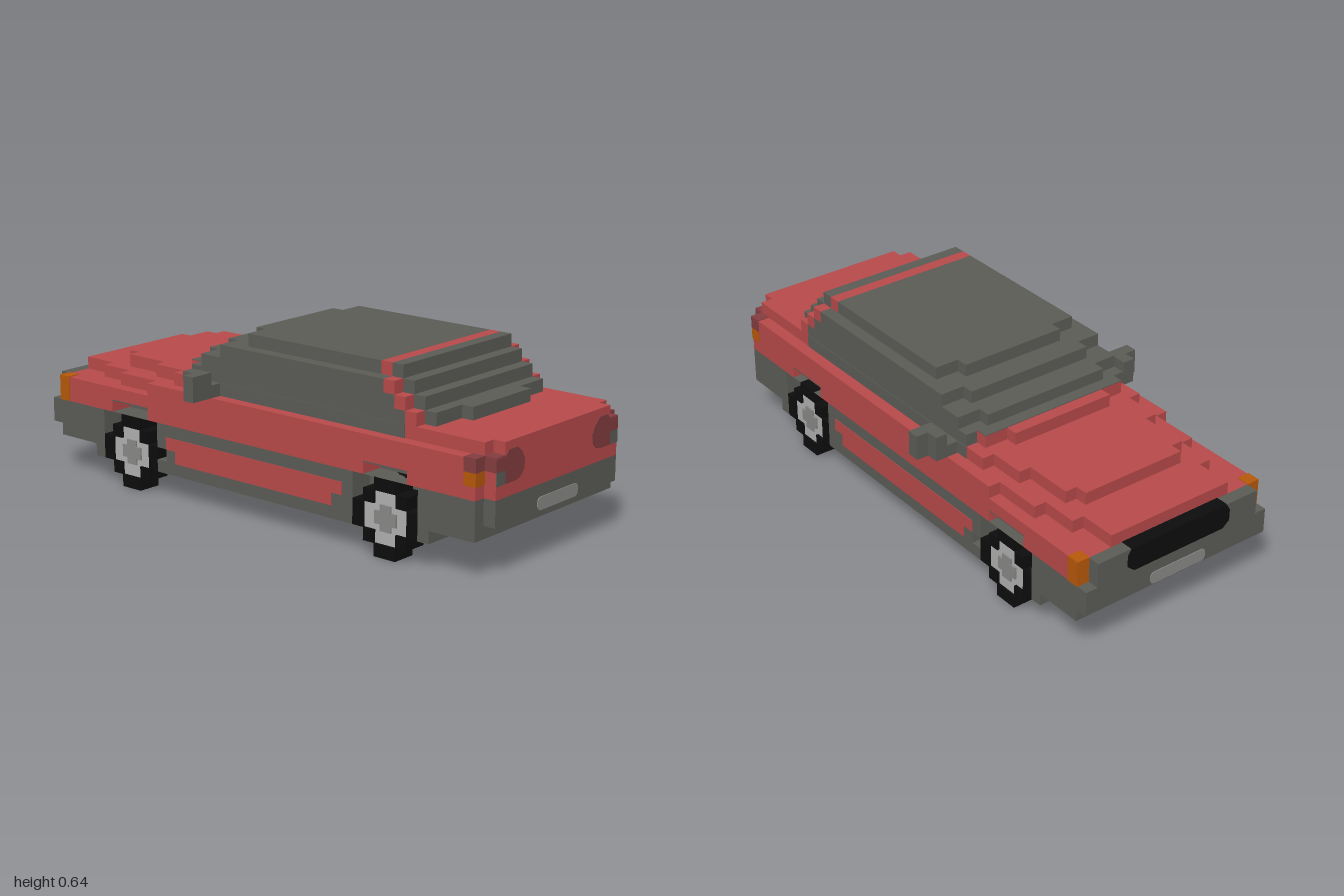
import * as THREE from 'three';

const U = 1 / 22; // edge of one block

export function createModel() {
  const mat = (name, color) => {
    const m = new THREE.MeshStandardMaterial({ color });
    m.name = name;
    return m;
  };
  const red = mat('red paint', 0xb94a4a);
  const grey = mat('dark grey', 0x5c5c57);
  const black = mat('tyre black', 0x0d0d0d);
  const silver = mat('wheel silver', 0xb2b2b2);
  const plateGrey = mat('plate grey', 0x8a8a88);
  const orange = mat('indicator orange', 0xb8590a);
  const lampRed = mat('lamp dark red', 0x843d40);

  const car = new THREE.Group();
  car.name = 'blockCar';

  const add = (name, geometry, material) => {
    const mesh = new THREE.Mesh(geometry, material);
    mesh.name = name;
    car.add(mesh);
    return mesh;
  };
  // Box from its limits, in blocks
  const box = (name, m, x0, x1, y0, y1, z0, z1) =>
    add(name, new THREE.BoxGeometry((x1 - x0) * U, (y1 - y0) * U, (z1 - z0) * U)
      .translate((x0 + x1) / 2 * U, (y0 + y1) / 2 * U, (z0 + z1) / 2 * U), m);
  const wide = (name, m, halfX, ...rest) => box(name, m, -halfX, halfX, ...rest);
  const pair = (name, m, x0, x1, ...rest) => {
    box(name + 'Left', m, x0, x1, ...rest);
    box(name + 'Right', m, -x1, -x0, ...rest);
  };
  const toShape = (points) => new THREE.Shape(points.map(([a, b]) => new THREE.Vector2(a * U, b * U)));
  // Side profile of (z, y) points, extruded across x
  const across = (name, m, points, x0, x1, hole) => {
    const shape = toShape(points);
    if (hole) shape.holes.push(toShape(hole));
    const g = new THREE.ExtrudeGeometry(shape, { depth: (x1 - x0) * U, bevelEnabled: false });
    return add(name, g.rotateY(-Math.PI / 2).translate(x1 * U, 0, 0), m);
  };
  const acrossPair = (name, m, points, x0, x1, hole) => {
    across(name + 'Left', m, points, x0, x1, hole);
    across(name + 'Right', m, points, -x1, -x0, hole);
  };

  // Lower body with wheel openings
  across('floorCore', grey, [[21, 3], [17, 3], [17, 2], [-17, 2], [-17, 6], [21, 6]], -6.5, 6.5,
    [[-10, 3], [-9, 3], [-9, 4], [-10, 4]]);
  acrossPair('sill', grey, [[21, 3], [17, 3], [17, 2], [16, 2], [16, 6], [10, 6], [10, 2], [-10, 2], [-10, 3],
    [-9, 3], [-9, 4], [-10, 4], [-10, 6], [-16, 6], [-16, 2], [-17, 2], [-17, 3], [-21, 3], [-21, 6], [21, 6]], 6.5, 8.5);
  pair('noseFloor', grey, 4.5, 6.5, 3, 6, -21, -17);
  wide('noseBeam', grey, 4.5, 3, 4, -18, -17);
  wide('noseStrut', grey, 0.5, 3, 4, -21, -18);
  acrossPair('doorPanel', red, [[9, 5], [9, 4], [8, 4], [8, 3], [-8, 3], [-8, 4], [-9, 4], [-9, 5]], 8.45, 8.55);

  // Upper body
  wide('bodyCore', red, 6.5, 6, 9, -11, 21);
  wide('noseCore', red, 6.5, 6, 8, -21, -11);
  acrossPair('bodySide', red, [[21, 6], [15, 6], [15, 7], [11, 7], [11, 6], [-11, 6], [-11, 7], [-15, 7], [-15, 6],
    [-21, 6], [-21, 8], [-11, 8], [-11, 9], [21, 9]], 6.5, 8.5);
  for (const z of [-13, 13]) {
    pair('wheelArchLiner', grey, 6.5, 6.55, 6, 7, z - 2, z + 2);
    pair('wheelArchRoof', grey, 6.55, 8.49, 6.9, 7, z - 2, z + 2);
  }
  wide('shoulder', red, 7.5, 9, 10, -9, 21);
  wide('tailEdge', red, 6.5, 9, 10, 21, 22);
  wide('tailPanel', red, 7.5, 6, 9, 21, 22);
  wide('tailBumper', grey, 7.5, 4, 6, 21, 22);

  // Hood, stepped towards the nose: [half width, front z]
  for (const [w, z] of [[7.5, -15], [6.5, -18], [5.5, -21]]) wide('hoodLower', red, w, 8, 9, z, -11);
  for (const [w, z] of [[6.5, -12], [5.5, -16], [4.5, -17]]) wide('hoodUpper', red, w, 9, 10, z, -9);
  wide('cowl', red, 6.5, 10, 11, -8, -7);
  wide('cowlFront', red, 4.5, 10, 11, -9, -8);
  wide('cowlTrim', grey, 6.5, 11, 11.06, -8, -7);

  // Nose
  wide('noseBumper', grey, 8.5, 4, 6, -22, -21);
  wide('nosePanel', grey, 7.5, 6, 8, -22, -21);
  pair('noseIndicator', orange, 7.5, 8.56, 6, 8.06, -21.06, -20);

  // Cabin layers: [y, glass front z, centre front z, pillar z, rear glass z]
  for (const [y, front, centre, pillar, rear] of
    [[10, -7, -7, 14, 16], [11, -6, -7, 13, 15], [12, -4, -5, 12, 14]]) {
    wide('cabinGlass', grey, 7.5, y, y + 1, front, pillar);
    if (centre < front) wide('windshieldStep', grey, 5.5, y, y + 1, centre, front);
    pair('rearPillar', red, 6.5, 7.5, y, y + 1, pillar, pillar + 1);
    wide('rearWindowStep', grey, 6.5, y, y + 1, pillar, rear);
  }
  wide('rearWindowFoot', grey, 3.5, 10, 11, 16, 17);
  pair('sideWindowBase', grey, 7.45, 7.55, 9, 10, -7, 14);
  wide('roof', grey, 6.5, 13, 14, -2, 11);
  wide('roofFront', grey, 4.5, 13, 14, -3, -2);
  wide('roofStripe', red, 6.5, 13, 14, 11, 12);
  wide('rearWindowTop', grey, 6.5, 13, 14, 12, 13);

  // Door mirrors
  pair('mirrorStem', grey, 7.5, 8.5, 9, 10, -6, -4);
  pair('mirrorHead', grey, 8.5, 10.5, 9, 11, -5, -4);
  pair('mirrorBack', grey, 8.5, 9.5, 9, 11, -6, -5);

  // Thin painted plates on the two ends
  const endPlate = (name, m, points, z) => {
    const g = new THREE.ExtrudeGeometry(toShape(points), { depth: 0.004, bevelEnabled: false });
    return add(name, g.translate(0, 0, z > 0 ? z * U - 0.001 : z * U - 0.003), m);
  };
  const rounded = (w, y0, y1, c) => [[-w + c, y0], [w - c, y0], [w - c / 3, y0 + c / 3], [w, y0 + c], [w, y1 - c],
    [w - c / 3, y1 - c / 3], [w - c, y1], [-w + c, y1], [-w + c / 3, y1 - c / 3], [-w, y1 - c], [-w, y0 + c],
    [-w + c / 3, y0 + c / 3]];
  endPlate('tailPlate', plateGrey, rounded(2.5, 4.05, 5.05, 0.3), 22);
  endPlate('nosePlate', plateGrey, rounded(2.6, 4.1, 5.1, 0.3), -22);
  endPlate('grille', black, [[-4.2, 6.1], [4.2, 6.1], [4.8, 6.6], [4.8, 7.5], [4.5, 8], [-4.5, 8], [-4.8, 7.5],
    [-4.8, 6.6]], -22);
  wide('grilleTop', black, 4.5, 8, 8.06, -22, -21);

  // Tail lamps
  const lamp = [[7.5, 8], [7.5, 9], [6.5, 9], [6.1, 9.4], [5.1, 9.4], [4.5, 8.9], [4.2, 8.3], [4.3, 7.6], [4.8, 7.1],
    [5.2, 7], [6.5, 7], [6.5, 8]];
  for (const s of [1, -1]) {
    endPlate('tailLamp', lampRed, lamp.map(([x, y]) => [x * s, y]), 22);
    endPlate('reverseLamp', grey, [[6.5, 7], [7.5, 7], [7.5, 8], [6.5, 8]].map(([x, y]) => [x * s, y]), 22);
  }
  pair('tailLampSide', lampRed, 7.45, 7.56, 8, 9, 21, 22);
  pair('tailLampTop', lampRed, 6.5, 7.5, 9, 9.06, 21, 22);
  pair('tailLampCorner', lampRed, 7.5, 8.56, 8, 9.06, 20, 21.06);
  pair('tailIndicator', orange, 7.5, 8.56, 7, 8, 20, 21.06);

  // Underside blocks
  wide('underTank', grey, 2.5, 1, 2, -2, 1);
  wide('underBracket', grey, 1.5, 1, 2, -4, -3);
  for (const z of [-15, -12]) wide('underCrossbar', grey, 2.5, 1, 2, z, z + 1);
  wide('underLink', grey, 1.5, 1, 2, -14, -12);

  // Wheels with stepped outlines; y is measured from the axle
  const mirrorSteps = (q) => [...q, ...q.map(([a, b]) => [-b, a]), ...q.map(([a, b]) => [-a, -b]), ...q.map(([a, b]) => [b, -a])];
  const tyre = mirrorSteps([[3, 1], [2, 1], [2, 2], [1, 2], [1, 3]]);
  const hub = mirrorSteps([[2, 1], [1, 1], [1, 2]]);
  for (const z of [-13, 13]) {
    const place = (pts) => pts.map(([a, b]) => [a + z, b + 3]);
    acrossPair('tyre', black, place(tyre), 6.5, 8.5, place(hub));
    acrossPair('wheelHub', silver, place(hub), 6.6, 8.3);
    pair('hubCap', plateGrey, 8.3, 8.45, 2.5, 3.5, z - 1, z + 1);
    pair('hubCapUpright', plateGrey, 8.3, 8.44, 2, 4, z - 0.5, z + 0.5);
  }
  return car;
}
